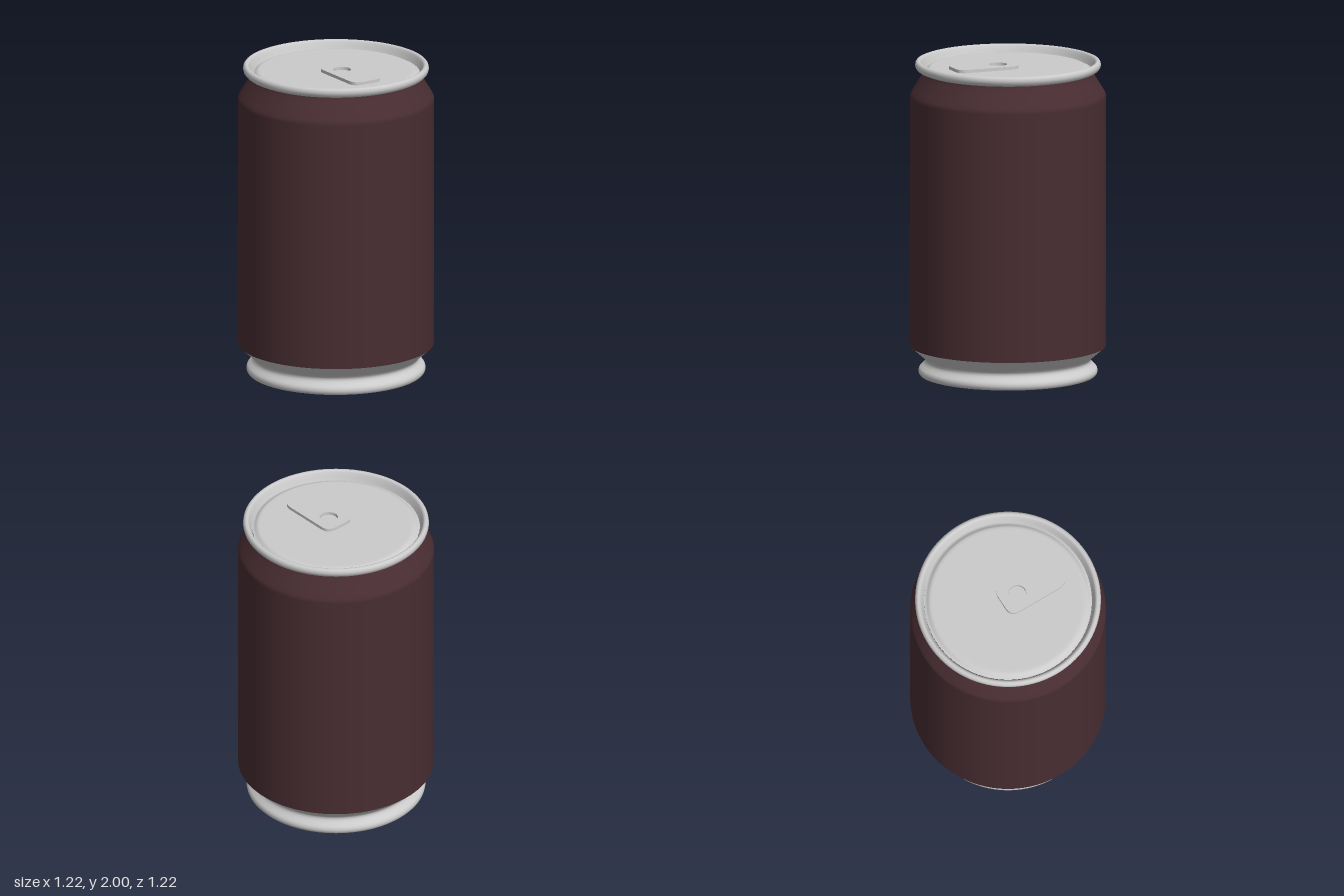
import * as THREE from 'three';

const SEGMENTS = 96;
const metal = new THREE.MeshStandardMaterial({ color: 0xcccccc });
const paint = new THREE.MeshStandardMaterial({ color: 0x482d32 });

// Revolves [radius, height] points; each inner list is smooth, breaks between lists stay sharp
function revolve(name, material, ...profiles) {
  const part = new THREE.Group();
  part.name = name;
  for (const profile of profiles) {
    const points = profile.map(([r, y]) => new THREE.Vector2(r, y));
    const mesh = new THREE.Mesh(new THREE.LatheGeometry(points, SEGMENTS), material);
    mesh.name = name + 'Surface';
    part.add(mesh);
  }
  return part;
}

// Flat pull tab with rounded corners and a finger hole
function createTab() {
  const w = 0.107, top = 0.045, bottom = -0.375, r = 0.065;
  const shape = new THREE.Shape();
  shape.moveTo(-w + r, bottom);
  shape.lineTo(w - r, bottom);
  shape.quadraticCurveTo(w, bottom, w, bottom + r);
  shape.lineTo(w, top - r);
  shape.quadraticCurveTo(w, top, w - r, top);
  shape.lineTo(-w + r, top);
  shape.quadraticCurveTo(-w, top, -w, top - r);
  shape.lineTo(-w, bottom + r);
  shape.quadraticCurveTo(-w, bottom, -w + r, bottom);
  const hole = new THREE.Path();
  hole.absarc(0, -0.068, 0.057, 0, Math.PI * 2, true);
  shape.holes.push(hole);
  const geometry = new THREE.ExtrudeGeometry(shape, { depth: 0.02, bevelEnabled: false, curveSegments: 16 });
  geometry.rotateX(-Math.PI / 2);
  const tab = new THREE.Mesh(geometry, metal);
  tab.name = 'pullTab';
  tab.position.y = 1.96;
  return tab;
}

export function createModel() {
  const can = new THREE.Group();
  can.name = 'drinkCan';

  // Bottom panel, standing ring, waist and flare up to the body
  can.add(revolve('base', metal,
    [[0, 0.02], [0.505, 0.02]],
    [[0.505, 0.02], [0.512, 0.008], [0.525, 0.001], [0.535, 0], [0.548, 0.004], [0.557, 0.014],
      [0.56, 0.028], [0.558, 0.042], [0.55, 0.054], [0.532, 0.07], [0.521, 0.084], [0.518, 0.097],
      [0.522, 0.11], [0.535, 0.123], [0.55, 0.136], [0.612, 0.19]]));

  // Painted wall and the tapering shoulder
  can.add(revolve('body', paint,
    [[0.612, 0.19], [0.612, 1.77]],
    [[0.612, 1.77], [0.612, 1.782], [0.606, 1.797], [0.592, 1.82], [0.555, 1.88], [0.535, 1.912],
      [0.526, 1.932], [0.525, 1.945]]));

  // Rolled rim that drops into the groove around the lid
  can.add(revolve('rim', metal,
    [[0.522, 1.932], [0.545, 1.935], [0.565, 1.943], [0.577, 1.956], [0.581, 1.972], [0.579, 1.986],
      [0.572, 1.996], [0.562, 2], [0.552, 1.997], [0.544, 1.988], [0.536, 1.965], [0.525, 1.94]]));

  // Lid panel rising from the groove
  can.add(revolve('lid', metal,
    [[0.525, 1.94], [0.515, 1.941], [0.506, 1.947], [0.497, 1.955], [0.487, 1.959], [0.475, 1.96], [0.46, 1.96]],
    [[0.46, 1.96], [0, 1.96]]));

  can.add(createTab());
  return can;
}
